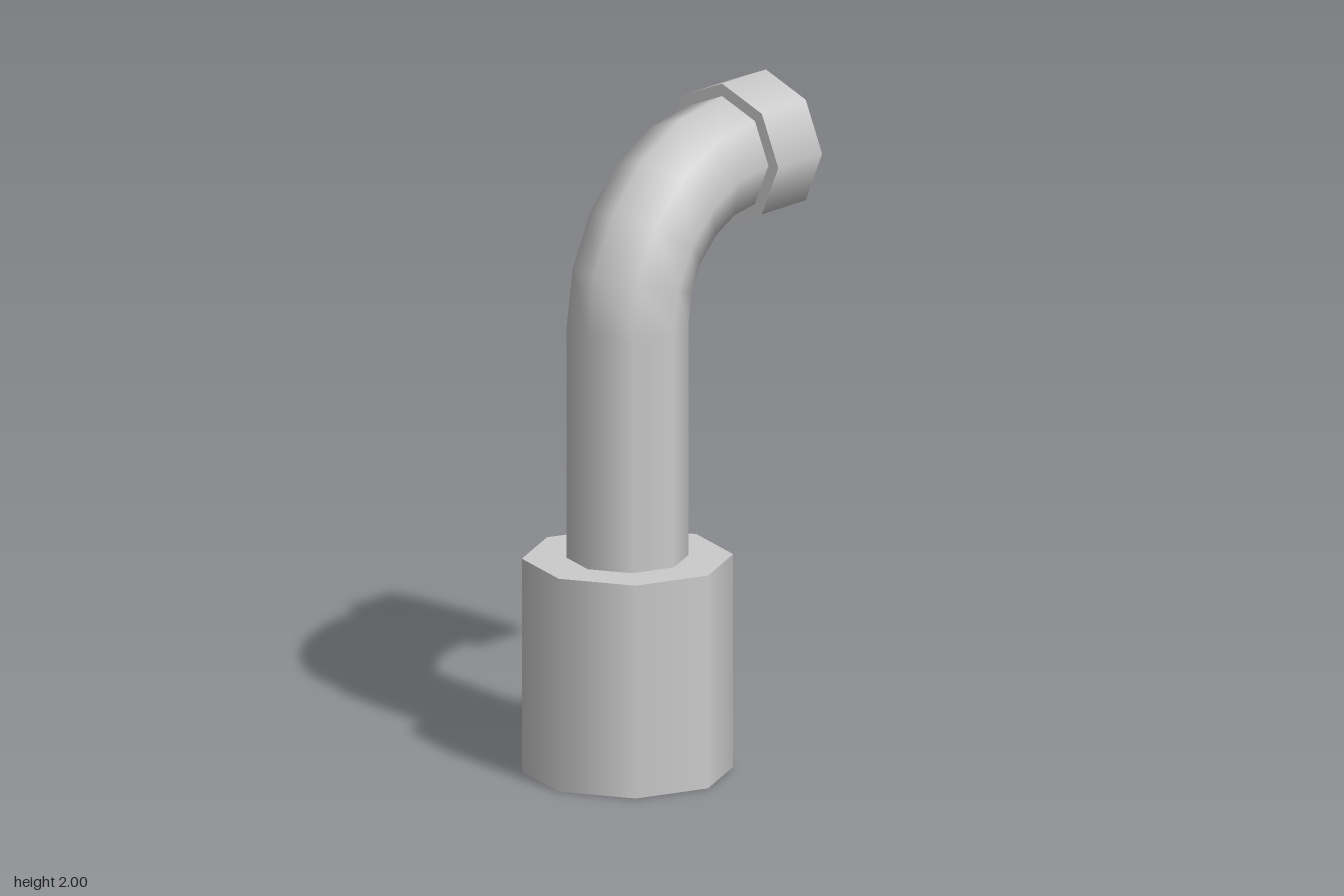
import * as THREE from 'three';

const SIDES = 8;
const PIPE_X = -0.157, PIPE_R = 0.179;
const BASE_R = 0.311, BASE_TOP = 0.65;
const CAP_R = 0.217, CAP_IN = 0.27, CAP_OUT = 0.468;
const CAP_Y = 2 - CAP_R;
const BEND = CAP_IN - PIPE_X;
const BEND_Y = CAP_Y - BEND;

export function createModel() {
  const group = new THREE.Group();
  group.name = 'pipeElbow';
  const material = new THREE.MeshStandardMaterial({ color: 0xcccccc });

  const add = (name, geometry, x, y) => {
    const mesh = new THREE.Mesh(geometry, material);
    mesh.name = name;
    mesh.position.set(x, y, 0);
    group.add(mesh);
  };

  // Wide octagonal socket standing on the ground
  add('baseSocket', new THREE.CylinderGeometry(BASE_R, BASE_R, BASE_TOP, SIDES), PIPE_X, BASE_TOP / 2);

  // Straight riser from the socket to the start of the bend
  const riser = BEND_Y - BASE_TOP;
  add('riserPipe', new THREE.CylinderGeometry(PIPE_R, PIPE_R, riser, SIDES, 1, true), PIPE_X, BASE_TOP + riser / 2);

  // Quarter-turn bend in five segments
  const bend = new THREE.TorusGeometry(BEND, PIPE_R, SIDES, 5, Math.PI / 2).rotateZ(Math.PI / 2);
  add('elbowBend', bend, CAP_IN, BEND_Y);

  // Closed collar on the horizontal end
  const cap = new THREE.CylinderGeometry(CAP_R, CAP_R, CAP_OUT - CAP_IN, SIDES).rotateZ(-Math.PI / 2);
  add('endCollar', cap, (CAP_IN + CAP_OUT) / 2, CAP_Y);

  return group;
}
